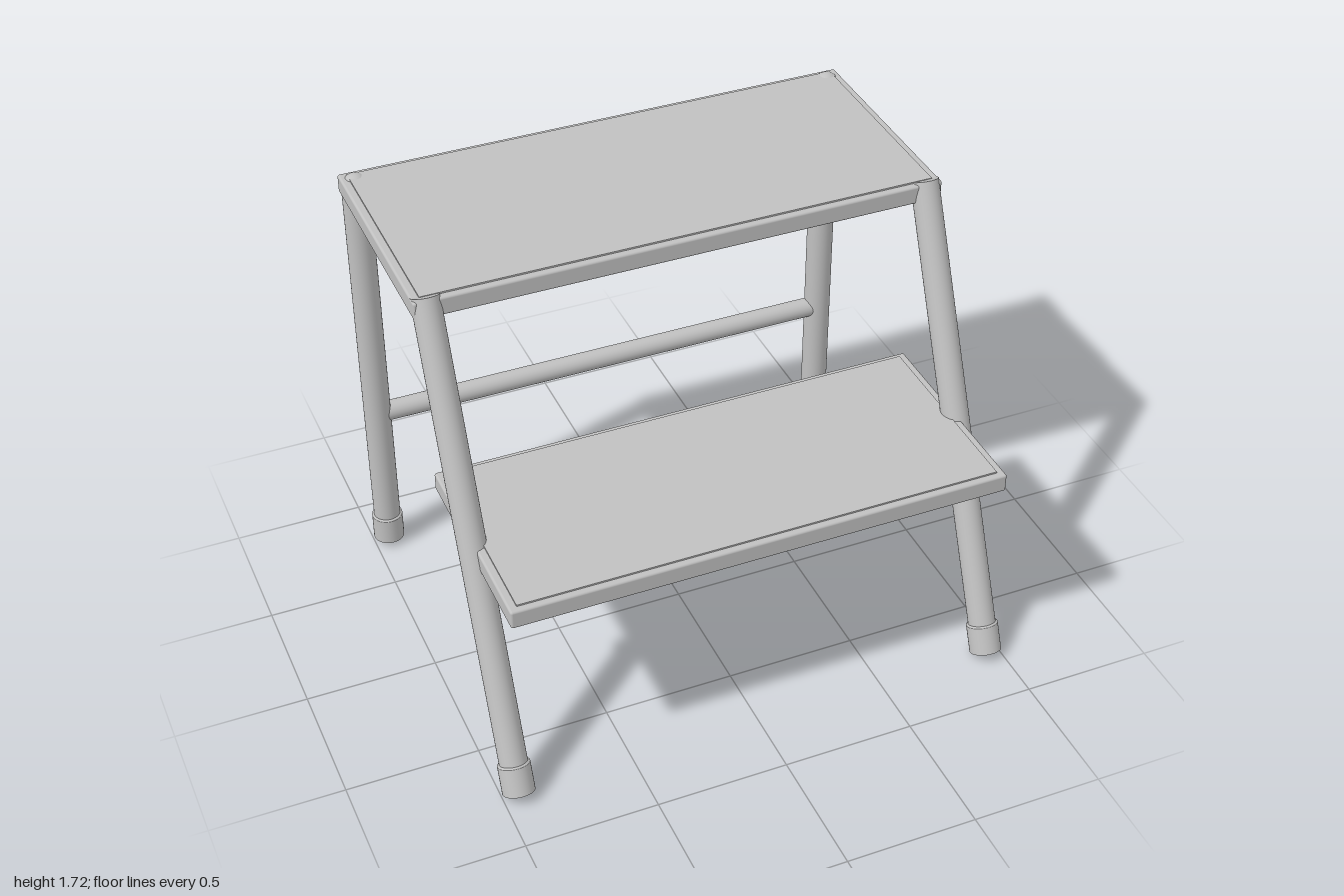
import * as THREE from 'three';
import { RoundedBoxGeometry } from 'three/addons/geometries/RoundedBoxGeometry.js';

const metal = new THREE.MeshStandardMaterial({ color: 0xc0c0c0 });
metal.name = 'light grey metal';

function add(parent, name, geometry, x = 0, y = 0, z = 0) {
  const mesh = new THREE.Mesh(geometry, metal);
  mesh.name = name;
  mesh.position.set(x, y, z);
  parent.add(mesh);
  return mesh;
}

// Tread: rounded slab with a slightly raised inset panel
function tread(name, halfX, z0, z1, y0, y1) {
  const g = new THREE.Group();
  g.name = name;
  const depth = z1 - z0, z = (z0 + z1) / 2, h = y1 - y0;
  add(g, name + 'Slab', new RoundedBoxGeometry(halfX * 2, h, depth, 3, 0.009), 0, y0 + h / 2, z);
  add(g, name + 'Panel', new THREE.BoxGeometry(halfX * 2 - 0.06, 0.016, depth - 0.05), 0, y1 - 0.002, z);
  return g;
}

// Leg standing on its local origin, with a rubber-foot sleeve
function leg(name, length, domed) {
  const g = new THREE.Group();
  g.name = name;
  const r = 0.052;
  const tube = length - (domed ? r : 0);
  add(g, name + 'Tube', new THREE.CylinderGeometry(r, r, tube - 0.01, 32), 0, tube / 2 + 0.005, 0);
  if (domed) add(g, name + 'Cap', new THREE.SphereGeometry(r, 32, 12, 0, Math.PI * 2, 0, Math.PI / 2), 0, tube, 0);
  const profile = [[0, 0], [0.06, 0], [0.06, 0], [0.06, 0.108], [0.06, 0.108], [0.056, 0.114], [0.05, 0.114]]
    .map(([x, y]) => new THREE.Vector2(x, y));
  add(g, name + 'Foot', new THREE.LatheGeometry(profile, 32));
  return g;
}

// Horizontal round bar along x
function bar(parent, name, half, r, y, z) {
  add(parent, name, new THREE.CylinderGeometry(r, r, half * 2, 28), 0, y, z).rotation.z = Math.PI / 2;
}

export function createModel() {
  const model = new THREE.Group();
  model.name = 'stepStool';

  // Treads
  model.add(tread('topStep', 0.993, -0.81, 0.08, 1.63, 1.702));
  model.add(tread('lowerStep', 0.94, -0.02, 0.79, 0.82, 0.893));

  // Legs, mirrored left and right
  const foot = new THREE.Vector3(0, 0.025, 0.767);
  const slope = new THREE.Vector3(0, 1.7, 0.042).sub(foot);
  for (const [side, s] of [['left', 1], ['right', -1]]) {
    const front = leg(side + 'FrontLeg', slope.length(), false);
    front.position.set(s * 0.94, foot.y, foot.z);
    front.rotation.x = Math.atan2(slope.z, slope.y);
    model.add(front);

    const back = leg(side + 'BackLeg', 1.69, true);
    back.position.set(s * 0.94, 0.025, -0.765);
    model.add(back);
  }

  // Cross bars
  bar(model, 'topStepBar', 0.94, 0.043, 1.585, -0.357);
  bar(model, 'lowerStepBar', 0.94, 0.042, 0.776, 0.388);
  bar(model, 'backBar', 0.93, 0.039, 0.636, -0.765);

  return model;
}
